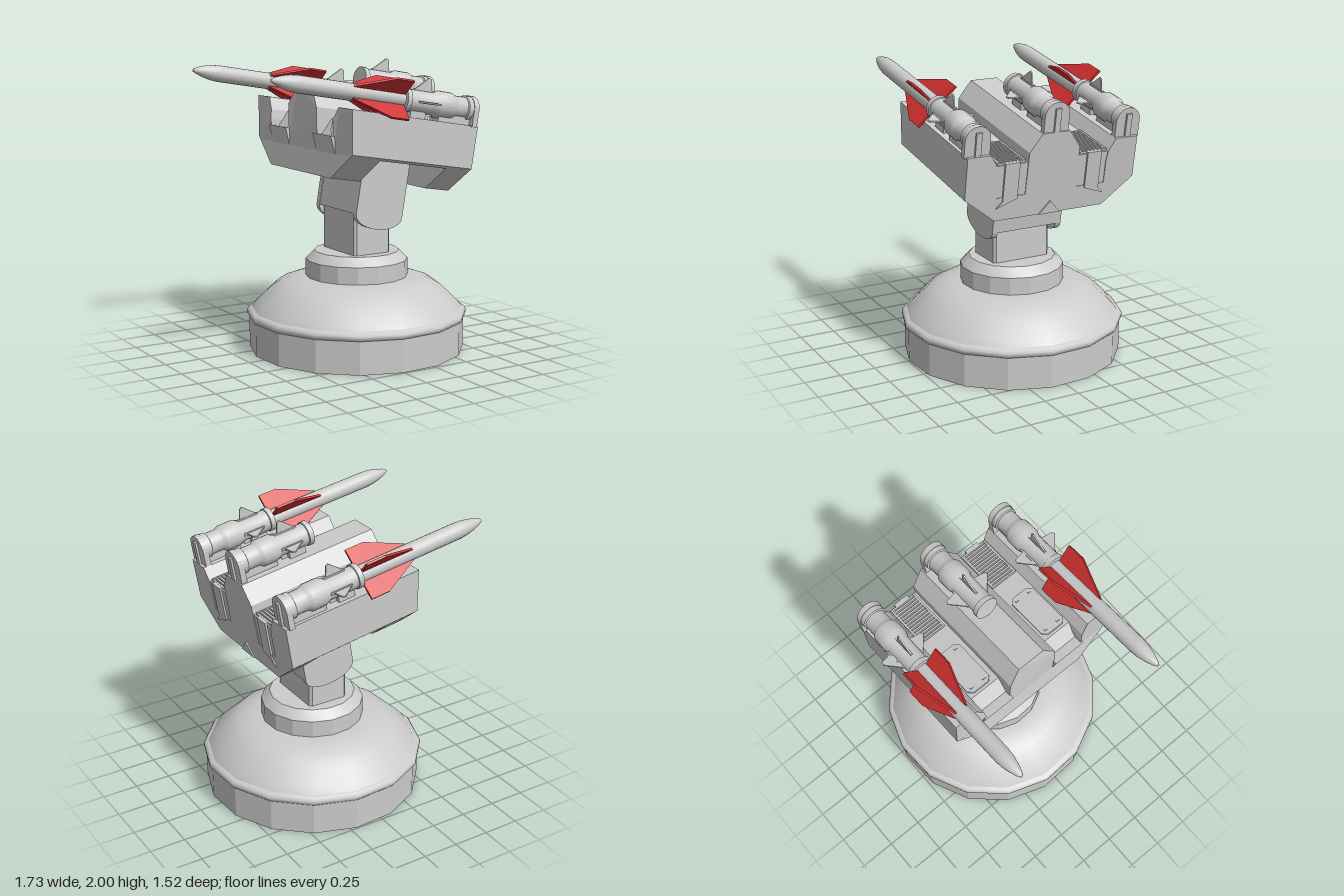
import * as THREE from 'three';
import { toCreasedNormals } from 'three/addons/utils/BufferGeometryUtils.js';

const grey = new THREE.MeshStandardMaterial({ color: 0xcccccc });
const red = new THREE.MeshStandardMaterial({ color: 0xd03030 });
const TILT = 0.166;

function add(parent, name, geometry, material = grey) {
  const mesh = new THREE.Mesh(geometry, material);
  mesh.name = name;
  parent.add(mesh);
  return mesh;
}

const toShape = (pts) => new THREE.Shape(pts.map(([a, b]) => new THREE.Vector2(a, b)));

// Prism with a [z, y] section, running along x from x0 to x1
function alongX(pts, x0, x1) {
  const g = new THREE.ExtrudeGeometry(toShape(pts), { depth: x1 - x0, bevelEnabled: false });
  return g.rotateY(-Math.PI / 2).translate(x1, 0, 0);
}

// Prism with an [x, y] outline, running along z from z0 to z1
function alongZ(pts, z0, z1) {
  const g = new THREE.ExtrudeGeometry(toShape(pts), { depth: z1 - z0, bevelEnabled: false, curveSegments: 12 });
  return g.translate(0, 0, z0);
}

function box(x0, x1, y0, y1, z0, z1) {
  return new THREE.BoxGeometry(x1 - x0, y1 - y0, z1 - z0)
    .translate((x0 + x1) / 2, (y0 + y1) / 2, (z0 + z1) / 2);
}

// Round body about the x axis; [x, radius] points from rear to nose
function turnedX(pts, sides) {
  const g = new THREE.LatheGeometry(pts.map(([x, r]) => new THREE.Vector2(r, -x)), sides);
  return toCreasedNormals(g.rotateZ(Math.PI / 2), 0.55);
}

// Pulls the lower front edge back so the nose of the cradle slopes under
function undercut(geometry) {
  const p = geometry.attributes.position;
  for (let i = 0; i < p.count; i++) {
    if (p.getX(i) < -0.5 && p.getY(i) < 0.4) p.setX(i, -0.52);
  }
  geometry.computeVertexNormals();
  return geometry;
}

// Sixteen-sided base part, [radius, y] from bottom to top
function basePart(pts, crease) {
  const g = new THREE.LatheGeometry(pts.map(([r, y]) => new THREE.Vector2(r, y)), 16, THREE.MathUtils.degToRad(14.5));
  return toCreasedNormals(g, crease);
}

function createBase() {
  const base = new THREE.Group();
  base.name = 'base';
  base.position.x = 0.1;
  add(base, 'drum', basePart([[0, 0], [0.75, 0], [0.75, 0.235]], 0.3));
  add(base, 'rim', basePart([[0.73, 0.228], [0.755, 0.228], [0.768, 0.243], [0.768, 0.262], [0.755, 0.28], [0.73, 0.288]], 0.8));
  add(base, 'dome', basePart([[0.738, 0.28], [0.7, 0.33], [0.65, 0.38], [0.59, 0.435], [0.53, 0.473],
    [0.46, 0.498], [0.4, 0.51], [0.34, 0.512]], 0.9));
  add(base, 'collar', basePart([[0.355, 0.5], [0.355, 0.63], [0.295, 0.69], [0, 0.69]], 0.3));
  // Square post with bevelled corners
  const x = 0.145, z = 0.212, b = 0.018;
  const post = [[x, z - b], [x - b, z], [b - x, z], [-x, z - b], [-x, b - z], [b - x, -z], [x - b, -z], [x, b - z]];
  const g = new THREE.ExtrudeGeometry(toShape(post), { depth: 0.36, bevelEnabled: false });
  add(base, 'post', g.rotateX(-Math.PI / 2).translate(-0.003, 0.68, 0));
  return base;
}

function createCanister() {
  const canister = new THREE.Group();
  canister.name = 'canister';
  add(canister, 'tube', turnedX([[0.4, 0], [0.4, 0.07], [0.39, 0.086], [0.34, 0.086], [0.335, 0.076], [0.25, 0.076],
    [0.22, 0.092], [0.12, 0.092], [0.08, 0.075], [-0.122, 0.075], [-0.125, 0.083], [-0.16, 0.083], [-0.16, 0]], 20));
  const fin = [[-0.06, 0.05], [-0.06, 0.085], [0.035, 0.165], [0.055, 0.155], [0.075, 0.05]];
  for (let i = 0; i < 4; i++) {
    add(canister, 'canisterFin', alongZ(fin, -0.005, 0.005)).rotation.x = i * Math.PI / 2;
    // Raised strip beside each fin root
    add(canister, 'finRoot', box(-0.07, 0.09, 0.07, 0.084, -0.008, 0.008)).rotation.x = i * Math.PI / 2;
  }
  // Arched clamp holding the rear end
  const arch = [[-0.09, -0.115]];
  for (let i = 0; i <= 12; i++) {
    const a = Math.PI * (1 - i / 12);
    arch.push([0.09 * Math.cos(a), 0.09 * Math.sin(a)]);
  }
  arch.push([0.09, -0.115]);
  add(canister, 'rearClamp', alongX(arch, 0.375, 0.415));
  add(canister, 'clampStrip', box(0.41, 0.43, -0.11, 0.05, -0.02, 0.02));
  add(canister, 'frontSaddle', box(-0.1, 0.02, -0.115, -0.05, -0.04, 0.04));
  add(canister, 'rearSaddle', box(0.12, 0.38, -0.115, -0.05, -0.05, 0.05));
  return canister;
}

function createMissile() {
  const missile = new THREE.Group();
  missile.name = 'missile';
  add(missile, 'missileBody', turnedX([[-0.14, 0], [-0.14, 0.057], [-0.94, 0.057], [-1.0, 0.052], [-1.06, 0.039],
    [-1.11, 0.022], [-1.133, 0.011], [-1.14, 0]], 20));
  const wing = [[-0.56, 0.045], [-0.56, 0.06], [-0.3, 0.18], [-0.165, 0.18], [-0.165, 0.045]];
  for (let i = 0; i < 4; i++) {
    add(missile, 'missileWing', alongZ(wing, -0.008, 0.008), red).rotation.x = Math.PI / 4 + i * Math.PI / 2;
  }
  return missile;
}

function createCradle() {
  const cradle = new THREE.Group();
  cradle.name = 'cradle';

  // Central ridge and the cross blocks underneath
  const ridge = [[-0.19, 0.345], [0.19, 0.345], [0.185, 0.63], [0.1, 0.75], [-0.1, 0.75], [-0.185, 0.63]];
  add(cradle, 'centreRidge', undercut(alongX(ridge, -0.57, 0.435)));
  const belly = [[-0.4, 0.187], [0.4, 0.187], [0.602, 0.346], [-0.602, 0.346]];
  add(cradle, 'frontBlock', alongX(belly, -0.52, -0.289));
  add(cradle, 'rearBlock', alongX(belly, 0.24, 0.435));
  add(cradle, 'rearWedge', alongX([[-0.08, 0.187], [0.08, 0.187], [0, 0.275]], 0.42, 0.443));

  for (const s of [-1, 1]) {
    const side = (pts) => pts.map(([z, y]) => [s * z, y]);
    const lo = (a, b) => [Math.min(s * a, s * b), Math.max(s * a, s * b)];
    // Side pod
    const pod = side([[0.4, 0.345], [0.6, 0.345], [0.624, 0.363], [0.624, 0.65], [0.46, 0.65], [0.41, 0.567], [0.4, 0.5]]);
    add(cradle, 'sidePod', undercut(alongX(pod, -0.57, 0.435)));
    // Trough deck with a stepped front
    const deck = [[-0.52, 0.345], [-0.57, 0.46], [-0.5, 0.46], [-0.44, 0.567], [0.43, 0.567], [0.43, 0.345]];
    add(cradle, 'troughDeck', alongZ(deck, ...lo(0.18, 0.415)));
    // Hatch with clipped corners
    const hatch = [[-0.42, 0.25], [-0.39, 0.22], [-0.09, 0.22], [-0.06, 0.25], [-0.06, 0.37], [-0.09, 0.4], [-0.39, 0.4], [-0.42, 0.37]];
    const hg = new THREE.ExtrudeGeometry(toShape(hatch.map(([x, z]) => [x, -s * z])), { depth: 0.012, bevelEnabled: false });
    add(cradle, 'hatch', hg.rotateX(-Math.PI / 2).translate(0, 0.566, 0));
    for (const x of [-0.385, -0.095]) {
      for (const z of [0.26, 0.36]) add(cradle, 'hatchStud', box(x - 0.006, x + 0.006, 0.575, 0.584, ...lo(z - 0.012, z + 0.012)));
    }
    // Vent grille: frame and slats
    for (const z of [0.21, 0.395]) add(cradle, 'grilleRail', box(0.09, 0.42, 0.56, 0.583, ...lo(z - 0.007, z + 0.007)));
    for (let i = 0; i < 14; i++) {
      const x = 0.097 + i * 0.0243;
      add(cradle, 'grilleSlat', box(x - 0.007, x + 0.007, 0.56, 0.581, ...lo(0.21, 0.395)));
    }
    // Tapered panel on the rear face
    const panel = side([[0.25, 0.58], [0.355, 0.58], [0.355, 0.32], [0.4, 0.275], [0.25, 0.33]]);
    add(cradle, 'rearPanel', alongX(panel, 0.42, 0.443));
    // Loaded launcher
    for (const part of [createCanister(), createMissile()]) {
      part.position.set(0, 0.757, s * 0.55);
      cradle.add(part);
    }
  }

  // Empty launcher on the ridge
  const centre = createCanister();
  centre.position.set(0.01, 0.86, 0);
  cradle.add(centre);

  // Yoke: core block between two round-bottomed cheeks
  add(cradle, 'yokeCore', box(-0.187, 0.185, -0.045, 0.35, -0.225, 0.225));
  const cheek = [[0.185, 0.35], [-0.19, 0.35]];
  for (let i = 0; i <= 12; i++) {
    const a = Math.PI * (1 + i / 12);
    cheek.push([-0.0025 + 0.1875 * Math.cos(a), -0.045 + 0.092 * Math.sin(a)]);
  }
  add(cradle, 'yokeCheekLeft', alongZ(cheek, 0.222, 0.262));
  add(cradle, 'yokeCheekRight', alongZ(cheek, -0.262, -0.222));

  cradle.position.set(0.13, 1.0, -0.004);
  cradle.rotation.z = -TILT;
  return cradle;
}

export function createModel() {
  const model = new THREE.Group();
  model.name = 'missileLauncher';
  model.add(createBase(), createCradle());
  return model;
}
